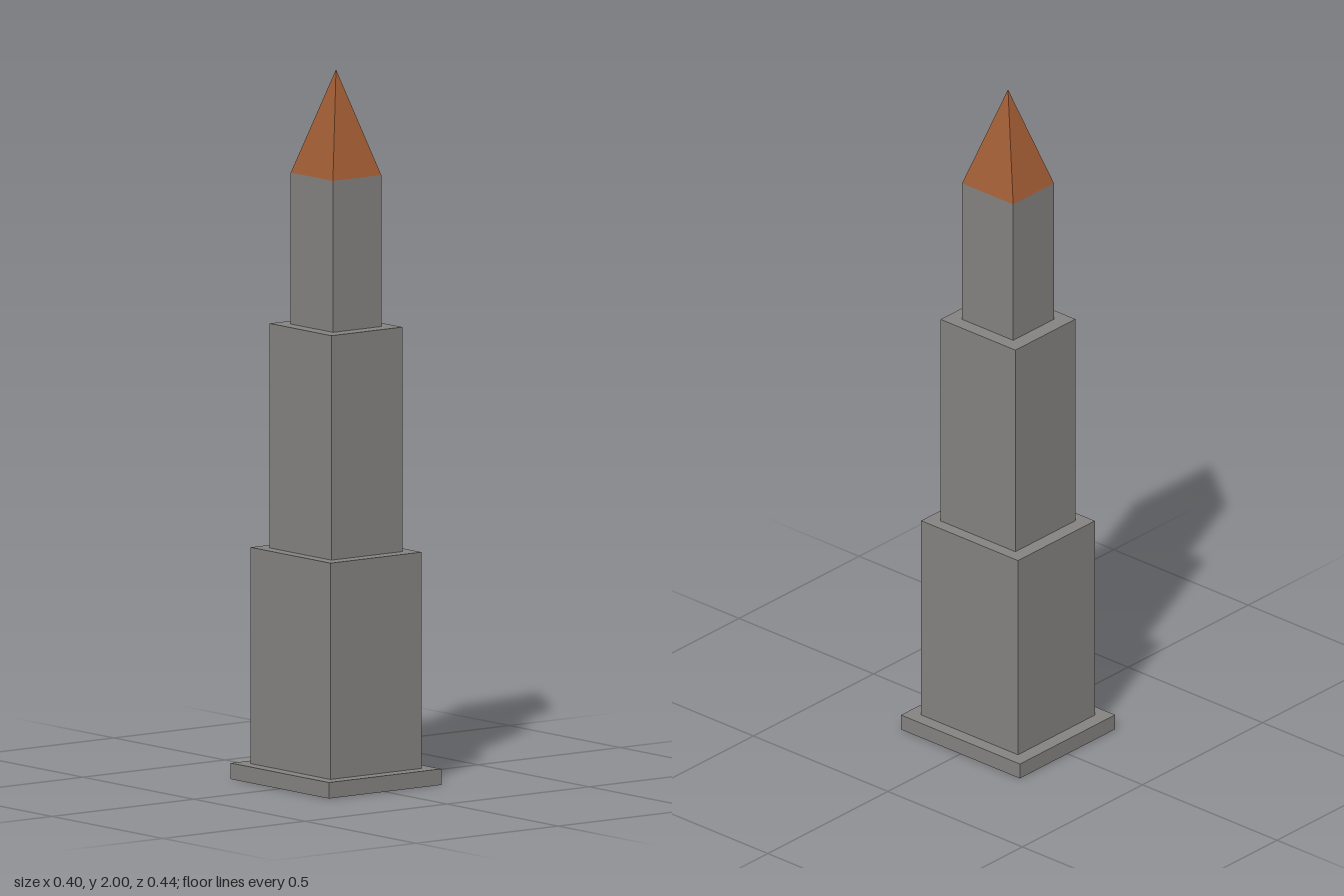
import * as THREE from 'three';

const stone = new THREE.MeshStandardMaterial({ color: 0x848280, flatShading: true, side: THREE.DoubleSide });
const copper = new THREE.MeshStandardMaterial({ color: 0xa05c34, flatShading: true, side: THREE.DoubleSide });

// Each tier: half width, half depth, bottom and top height
const tiers = [
  { name: 'plinth', x: 0.198, z: 0.221, y0: 0, y1: 0.045 },
  { name: 'lowerShaft', x: 0.16, z: 0.18, y0: 0.045, y1: 0.652 },
  { name: 'middleShaft', x: 0.125, z: 0.139, y0: 0.652, y1: 1.282 },
  { name: 'upperShaft', x: 0.085, z: 0.095, y0: 1.282, y1: 1.707 },
];

// Open four-sided shell; topScale 0 makes a pyramid
function shell(x, z, y0, y1, topScale) {
  const r = Math.SQRT2;
  const geo = new THREE.CylinderGeometry(r * topScale, r, 1, 4, 1, true)
    .rotateY(Math.PI / 4)
    .scale(x, y1 - y0, z)
    .translate(0, (y0 + y1) / 2, 0)
    .toNonIndexed();
  geo.computeVertexNormals();
  return geo;
}

// Flat step between a tier and the narrower one above it
function ledge(outer, inner) {
  const corners = ({ x, z }) => [[-x, -z], [x, -z], [x, z], [-x, z]].map(([a, b]) => new THREE.Vector2(a, b));
  const shape = new THREE.Shape(corners(outer));
  shape.holes.push(new THREE.Path(corners(inner)));
  return new THREE.ShapeGeometry(shape).rotateX(-Math.PI / 2).translate(0, outer.y1, 0);
}

function add(parent, name, geometry, material) {
  const mesh = new THREE.Mesh(geometry, material);
  mesh.name = name;
  parent.add(mesh);
}

export function createModel() {
  const model = new THREE.Group();
  model.name = 'steppedTower';

  // Hollow tiers, open at the bottom
  tiers.forEach((t, i) => {
    const tier = new THREE.Group();
    tier.name = t.name;
    add(tier, t.name + 'Walls', shell(t.x, t.z, t.y0, t.y1, 1), stone);
    if (tiers[i + 1]) add(tier, t.name + 'Ledge', ledge(t, tiers[i + 1]), stone);
    model.add(tier);
  });

  // Pyramid roof
  const top = tiers[tiers.length - 1];
  add(model, 'spire', shell(top.x, top.z, top.y1, 2, 0), copper);
  return model;
}
